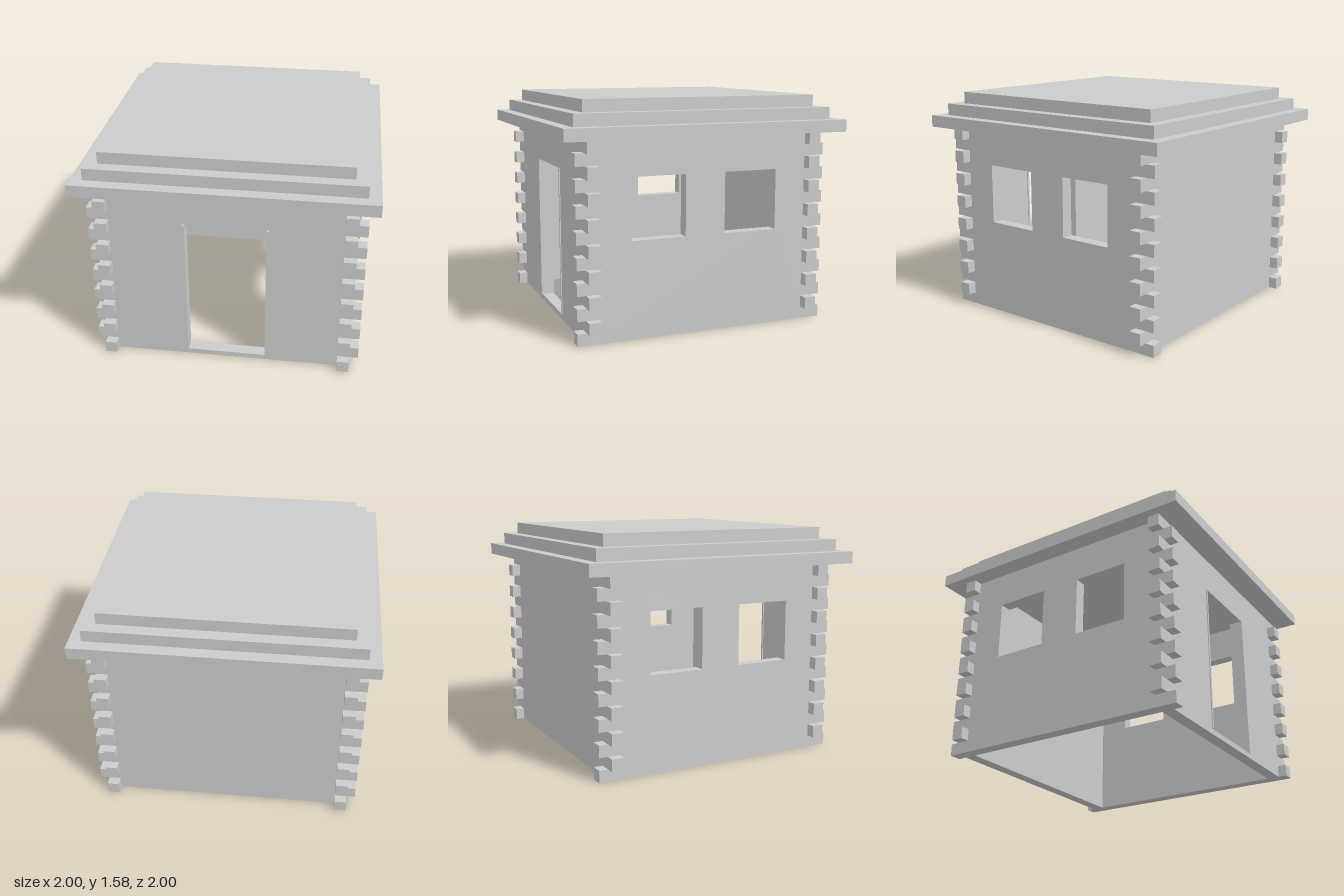
import * as THREE from 'three';

const material = new THREE.MeshStandardMaterial({ color: 0xcccccc, flatShading: true });
const WX = 0.875, WZ = 0.835; // outer faces of the walls
const T = 0.084;              // log and wall thickness
const H = 1.335;              // wall height
const ROWS = 16, ROW = H / ROWS;

// Box given by its minimum and maximum corners
function box(name, [x0, y0, z0], [x1, y1, z1]) {
  const mesh = new THREE.Mesh(new THREE.BoxGeometry(x1 - x0, y1 - y0, z1 - z0), material);
  mesh.position.set((x0 + x1) / 2, (y0 + y1) / 2, (z0 + z1) / 2);
  mesh.name = name;
  return mesh;
}

// Upright wall slab with rectangular openings [u0, y0, u1, y1]
function wall(name, halfWidth, openings) {
  const rect = (path, u0, y0, u1, y1) =>
    path.moveTo(u0, y0).lineTo(u1, y0).lineTo(u1, y1).lineTo(u0, y1).closePath();
  const shape = rect(new THREE.Shape(), -halfWidth, 0, halfWidth, H);
  for (const o of openings) shape.holes.push(rect(new THREE.Path(), ...o));
  const mesh = new THREE.Mesh(
    new THREE.ExtrudeGeometry(shape, { depth: T, bevelEnabled: false }), material);
  mesh.name = name;
  return mesh;
}

export function createModel() {
  const cabin = new THREE.Group();
  cabin.name = 'logCabin';

  // Front wall with doorway, plain back wall
  const front = wall('frontWall', WX, [[-0.29, 0.037, 0.29, 1.085]]);
  front.position.z = WZ - T;
  const back = wall('backWall', WX, []);
  back.position.z = -WZ;
  cabin.add(front, back);

  // Side walls, two windows each
  const windows = [[-0.527, 0.667, -0.143, 1.085], [0.143, 0.667, 0.527, 1.085]];
  for (const [name, x] of [['leftWall', WX - T], ['rightWall', -WX]]) {
    const side = wall(name, WZ - T, windows);
    side.rotation.y = Math.PI / 2;
    side.position.x = x;
    cabin.add(side);
  }

  // Door jambs, slightly proud of the wall
  for (const s of [-1, 1]) {
    const jamb = box('doorJamb', [-0.0075, 0.037, WZ - T - 0.007], [0.0075, 1.08, WZ + 0.007]);
    jamb.position.x = s * 0.2835;
    cabin.add(jamb);
  }

  // Interlocking log ends: even rows point along z, odd rows along x
  const logEnds = new THREE.Group();
  logEnds.name = 'logEnds';
  for (let row = 0; row < ROWS; row++) {
    const y0 = row * ROW, y1 = y0 + ROW;
    for (const sx of [-1, 1]) for (const sz of [-1, 1]) {
      const end = row % 2
        ? box('logEnd', [WX, y0, WZ - T], [0.938, y1, WZ])
        : box('logEnd', [WX - T, y0, WZ], [WX, y1, 0.897]);
      end.position.x *= sx;
      end.position.z *= sz;
      logEnds.add(end);
    }
  }
  cabin.add(logEnds);

  // Stepped roof slabs
  [1, 0.916, 0.832].forEach((r, i) => {
    const y = H + i * 0.083;
    cabin.add(box('roofStep', [-r, y, -r], [r, y + 0.083, r]));
  });

  return cabin;
}
